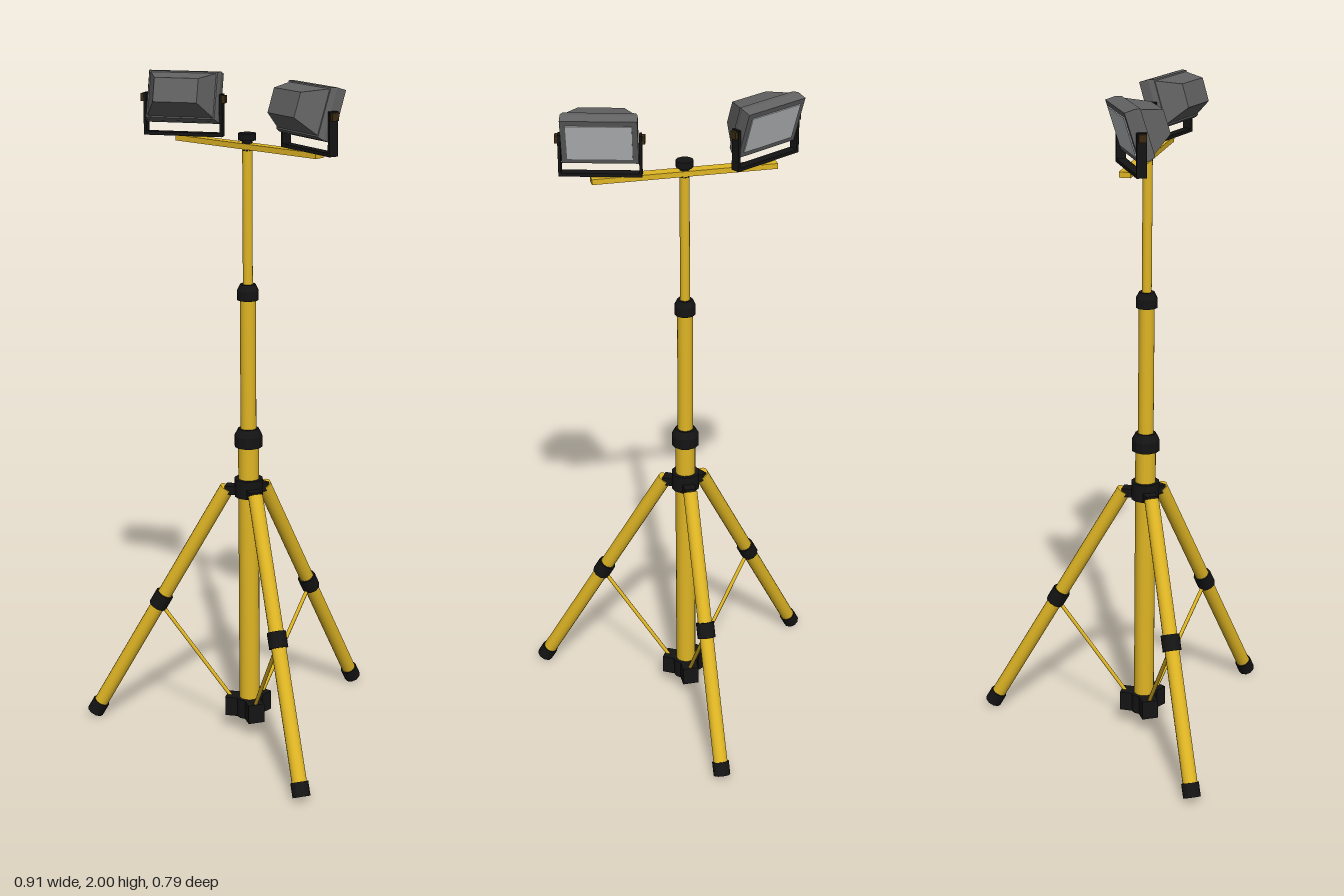
import * as THREE from 'three';

const paint = (name, color) => {
  const m = new THREE.MeshStandardMaterial({ color });
  m.name = name;
  return m;
};

export function createModel() {
  const yellow = paint('yellow paint', 0xe0b624);
  const black = paint('black plastic', 0x141414);
  const grey = paint('grey housing', 0x626262);
  const glass = paint('lamp glass', 0xc4c6c8);
  const brown = paint('dark brown knob', 0x3a2a12);

  const model = new THREE.Group();
  model.name = 'workLightTripod';
  const rig = new THREE.Group();
  rig.name = 'rig';
  rig.position.z = 0.12; // the mast stands forward of the middle
  model.add(rig);

  const add = (parent, name, geo, mat, x = 0, y = 0, z = 0) => {
    const mesh = new THREE.Mesh(geo, mat);
    mesh.name = name;
    mesh.position.set(x, y, z);
    parent.add(mesh);
    return mesh;
  };
  const box = (w, h, d) => new THREE.BoxGeometry(w, h, d);

  // Round bar between two points
  const rod = (parent, name, a, b, r, mat, sides = 14) => {
    const dir = b.clone().sub(a);
    const mesh = add(parent, name, new THREE.CylinderGeometry(r, r, dir.length(), sides), mat);
    mesh.position.copy(a).add(b).multiplyScalar(0.5);
    mesh.quaternion.setFromUnitVectors(new THREE.Vector3(0, 1, 0), dir.normalize());
    return mesh;
  };
  const v = (x, y, z) => new THREE.Vector3(x, y, z);

  // Telescopic mast
  for (const [name, y0, y1, r] of [
    ['lowerMast', 0.06, 0.94, 0.031],
    ['middleMast', 0.94, 1.38, 0.0235],
    ['upperMast', 1.38, 1.8, 0.0145],
  ]) rod(rig, name, v(0, y0, 0), v(0, y1, 0), r, yellow, 18);

  // Locking collars with a chamfered top
  const collar = (name, y, h, r) => {
    const pts = [[0, 0], [r, 0], [r, h * 0.6], [r * 0.72, h], [0, h]];
    const geo = new THREE.LatheGeometry(pts.map(p => new THREE.Vector2(...p)), 12).toNonIndexed();
    geo.computeVertexNormals();
    add(rig, name, geo, black, 0, y, 0);
  };
  collar('lowerCollar', 0.915, 0.055, 0.042);
  collar('upperCollar', 1.358, 0.046, 0.032);
  rod(rig, 'hub', v(0, 0.76, 0), v(0, 0.815, 0), 0.043, black, 12);
  rod(rig, 'baseCore', v(0, 0.05, 0), v(0, 0.11, 0), 0.042, black, 12);

  // Three legs with clamps, feet and struts, built along +z
  for (let i = 0; i < 3; i++) {
    const leg = new THREE.Group();
    leg.name = ['backLeg', 'leftLeg', 'rightLeg'][i];
    leg.rotation.y = Math.PI + i * Math.PI * 2 / 3;
    rig.add(leg);
    const top = v(0, 0.78, 0.066), end = v(0, 0.012, 0.496);
    const at = t => top.clone().lerp(end, t);
    rod(leg, 'legTube', top, at(0.97), 0.022, yellow, 16);
    rod(leg, 'legClamp', at(0.46), at(0.515), 0.028, black, 10);
    rod(leg, 'foot', at(0.952), end, 0.026, black, 10);
    rod(leg, 'strut', at(0.5), v(0, 0.1, 0.055), 0.006, yellow, 8);
    add(leg, 'hubLug', box(0.036, 0.026, 0.04), black, 0, 0.777, 0.05);
    add(leg, 'baseLug', box(0.05, 0.06, 0.07), black, 0, 0.08, 0.036);
  }

  // Crossbar and its fixing knob
  add(rig, 'crossbar', box(0.54, 0.016, 0.033), yellow, 0, 1.803, 0);
  rod(rig, 'knobStem', v(0, 1.79, 0), v(0, 1.825, 0), 0.015, black, 10);
  rod(rig, 'knobCap', v(0, 1.82, 0), v(0, 1.84, 0), 0.026, black, 10);

  // Block whose +z end shrinks to the given size
  const taper = (w, h, d, w2, h2) => {
    const geo = box(w, h, d).toNonIndexed();
    const p = geo.attributes.position;
    for (let i = 0; i < p.count; i++)
      if (p.getZ(i) > 0) p.setXY(i, p.getX(i) * w2 / w, p.getY(i) * h2 / h);
    geo.computeVertexNormals();
    return geo;
  };

  // Floodlights in U-shaped brackets, glass towards -z and tilted down
  for (const [name, x, yaw] of [['leftLamp', 0.24, -0.26], ['rightLamp', -0.24, 0.49]]) {
    const lamp = new THREE.Group();
    lamp.name = name;
    lamp.position.set(x, 1.925, 0.01);
    lamp.rotation.y = yaw;
    rig.add(lamp);

    add(lamp, 'bracketBase', box(0.228, 0.01, 0.028), black, 0, -0.108, 0);
    for (const s of [-1, 1]) {
      add(lamp, 'bracketArm', box(0.008, 0.122, 0.028), black, s * 0.114, -0.052, 0);
      add(lamp, 'pivotKnob', box(0.01, 0.022, 0.022), brown, s * 0.122, -0.005, 0);
    }

    const head = new THREE.Group();
    head.name = 'lampHead';
    head.rotation.x = -0.31;
    lamp.add(head);
    add(head, 'rim', box(0.216, 0.146, 0.03), grey, 0, 0, -0.01);
    add(head, 'rimBevel', taper(0.216, 0.146, 0.016, 0.204, 0.136), grey, 0, 0, 0.013);
    add(head, 'housing', taper(0.196, 0.128, 0.066, 0.13, 0.07), grey, 0, 0, 0.054);
    add(head, 'glassPane', box(0.184, 0.114, 0.004), glass, 0, 0, -0.026);
  }
  return model;
}
